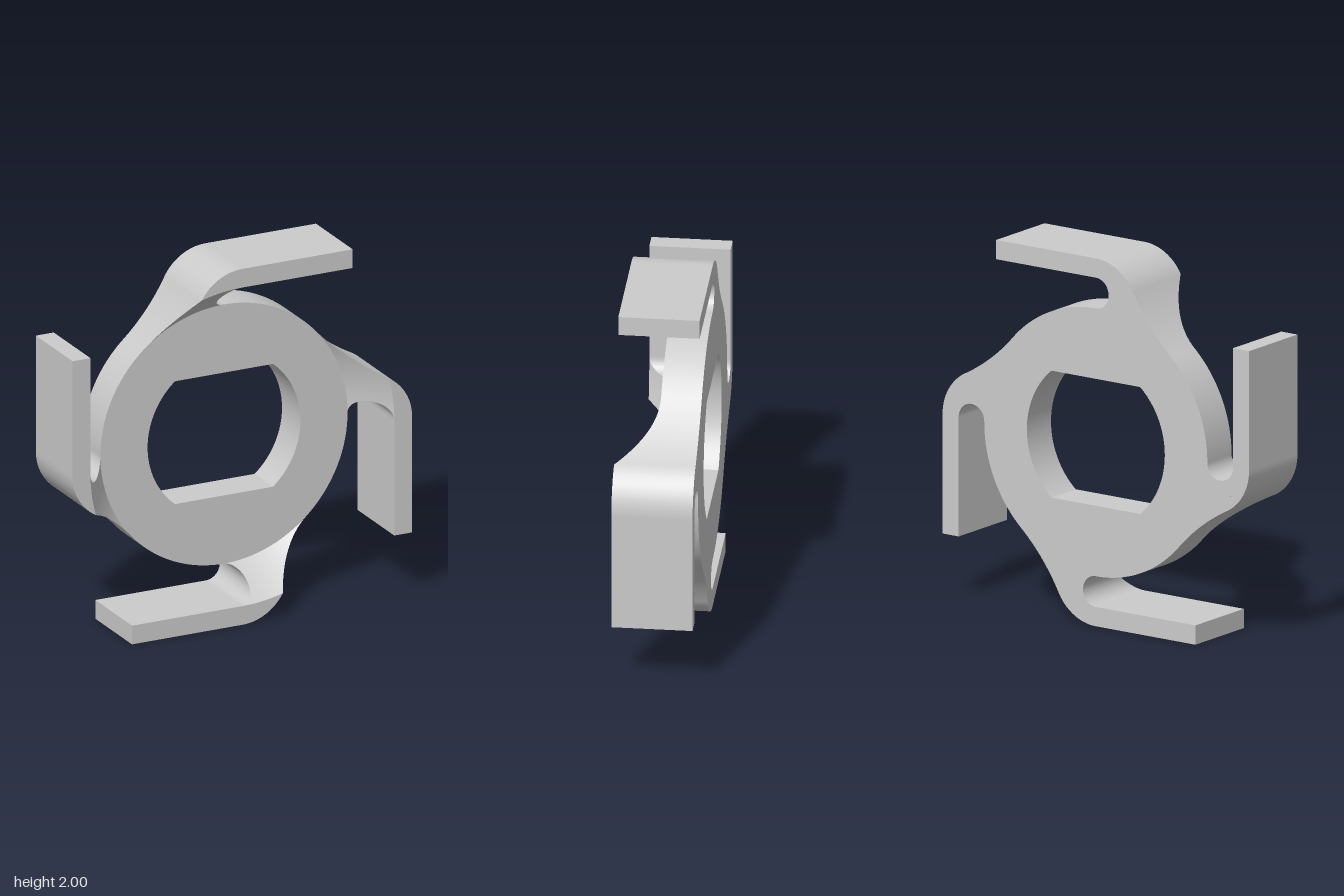
import * as THREE from 'three';
import { toCreasedNormals } from 'three/addons/utils/BufferGeometryUtils.js';

const H = 0.215;                    // half depth of the arms; the ring fills the back half
const RING = 0.728, HOLE = 0.45, FLAT = 0.345;
const INNER = 0.895, TIP = -0.65;   // inner face and tip of an arm
const BEND = 0.725, BEND_R = 0.275; // outer bend circle, centred on (BEND, 0)

// concave fillet touching both the ring and the bend
const FILLET_A = THREE.MathUtils.degToRad(42);
const reach = BEND * Math.cos(FILLET_A);
const FILLET_R = (RING ** 2 + BEND ** 2 - BEND_R ** 2 - 2 * RING * reach) / (2 * (BEND_R - RING + reach));
const FILLET_D = RING + FILLET_R;

const material = new THREE.MeshStandardMaterial({ color: 0xcccccc });

function addMesh(parent, geometry, name) {
  const mesh = new THREE.Mesh(toCreasedNormals(geometry, 0.5), material);
  mesh.name = name;
  parent.add(mesh);
}

function extrude(shape, depth) {
  const g = new THREE.ExtrudeGeometry(shape, { depth, bevelEnabled: false, curveSegments: 192 });
  return g.translate(0, 0, -H);
}

// half angle at which a circle of radius r round the origin meets one of radius R at distance d
const meet = (r, d, R) => Math.acos(THREE.MathUtils.clamp((r * r + d * d - R * R) / (2 * r * d), -1, 1));
const slotAngle = r => meet(r, (RING + INNER) / 2, (INNER - RING) / 2);
const bendAngle = r => meet(r, BEND, BEND_R);

// radius at which the outer edge passes from the fillet to the bend
const cx = FILLET_D * Math.cos(FILLET_A) - BEND, cy = FILLET_D * Math.sin(FILLET_A);
const k = BEND_R / Math.hypot(cx, cy);
const CONTACT = Math.hypot(BEND + cx * k, cy * k);
const outerAngle = r => r < CONTACT ? FILLET_A - meet(r, FILLET_D, FILLET_R) : bendAngle(r);

// ring with a double-flat bore
function ringGeometry() {
  const shape = new THREE.Shape().absarc(0, 0, RING, 0, Math.PI * 2, false);
  const a = Math.asin(FLAT / HOLE);
  const hole = new THREE.Path();
  hole.absarc(0, 0, HOLE, -a, a, false);
  hole.absarc(0, 0, HOLE, Math.PI - a, Math.PI + a, false);
  hole.closePath();
  shape.holes.push(hole);
  return extrude(shape, H);
}

// straight arm with its rounded outer bend
function armGeometry() {
  const a = bendAngle(INNER);
  const start = Math.atan2(INNER * Math.sin(a), INNER * Math.cos(a) - BEND);
  const shape = new THREE.Shape();
  shape.moveTo(INNER, TIP);
  shape.lineTo(BEND + BEND_R, TIP);
  shape.lineTo(BEND + BEND_R, 0);
  shape.absarc(BEND, 0, BEND_R, 0, start, false);
  shape.absarc(0, 0, INNER, a, 0, true);
  shape.closePath();
  return extrude(shape, 2 * H);
}

// web joining ring and arm: flat back, conical front rising outwards
function webGeometry() {
  const rows = 40, cols = 20, loop = 2 * (cols + 1);
  const positions = [], index = [];
  for (let i = 0; i <= rows; i++) {
    const t = (1 - Math.cos(Math.PI * i / rows)) / 2;
    const r = THREE.MathUtils.lerp(RING, INNER, t);
    const a0 = slotAngle(r), a1 = outerAngle(r);
    for (let j = 0; j < loop; j++) {
      const front = j <= cols;
      const a = THREE.MathUtils.lerp(a0, a1, (front ? j : loop - 1 - j) / cols);
      positions.push(r * Math.cos(a), r * Math.sin(a), front ? H * t : -H);
    }
  }
  for (let i = 0; i < rows; i++) {
    for (let j = 0; j < loop; j++) {
      const n = (j + 1) % loop;
      const a = i * loop + j, b = a + loop, c = (i + 1) * loop + n, d = i * loop + n;
      index.push(a, b, c, a, c, d);
    }
  }
  const g = new THREE.BufferGeometry();
  g.setAttribute('position', new THREE.Float32BufferAttribute(positions, 3));
  g.setIndex(index);
  return g;
}

export function createModel() {
  const model = new THREE.Group();
  model.name = 'hookedRing';
  const body = new THREE.Group();
  body.name = 'body';
  body.position.y = 1;
  model.add(body);

  addMesh(body, ringGeometry(), 'ring');

  // four hooks, a quarter turn apart
  const armShape = armGeometry(), webShape = webGeometry();
  for (let i = 0; i < 4; i++) {
    const hook = new THREE.Group();
    hook.name = 'hook' + (i + 1);
    hook.rotation.z = i * Math.PI / 2;
    addMesh(hook, armShape, 'arm');
    addMesh(hook, webShape, 'web');
    body.add(hook);
  }
  return model;
}
